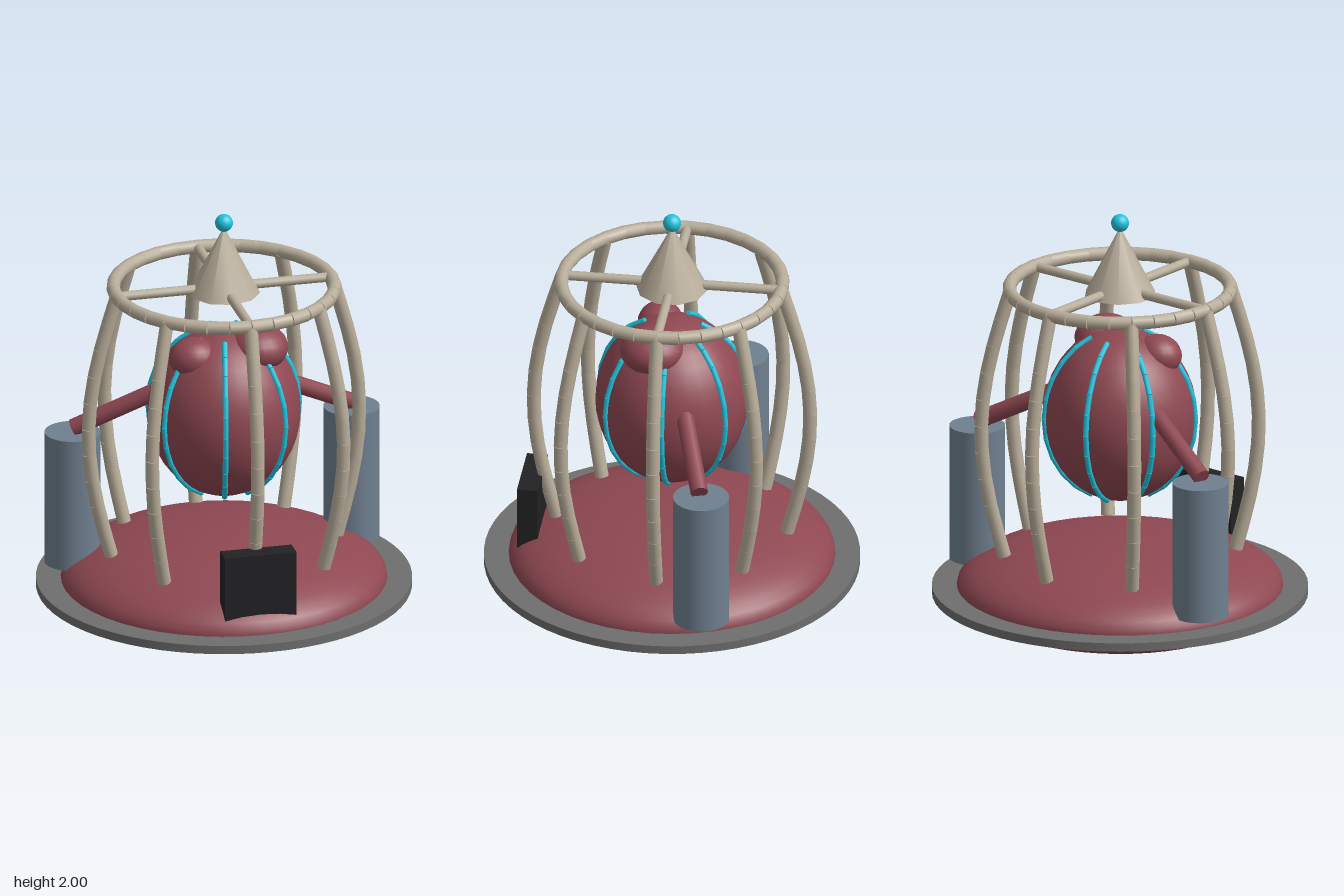
import * as THREE from 'three';

const mat = (color) => new THREE.MeshStandardMaterial({ color });
const RED = mat(0x8f4852), BONE = mat(0xb8ad9a), STEEL = mat(0x708090);
const CYAN = mat(0x22c4de), GREY = mat(0x6e6e6e), BLACK = mat(0x222224);
const V = (x, y, z) => new THREE.Vector3(x, y, z);

export function createModel() {
  const model = new THREE.Group();

  function add(name, geometry, material, x = 0, y = 0, z = 0, parent = model) {
    const mesh = new THREE.Mesh(geometry, material);
    mesh.name = name;
    mesh.position.set(x, y, z);
    parent.add(mesh);
    return mesh;
  }
  function group(name) {
    const g = new THREE.Group();
    g.name = name;
    model.add(g);
    return g;
  }
  // straight round bar between two points
  function bar(name, a, b, radius, material, parent = model, sides = 12) {
    const geo = new THREE.CylinderGeometry(radius, radius, a.distanceTo(b), sides);
    const mesh = add(name, geo, material, 0, 0, 0, parent);
    mesh.position.copy(a).lerp(b, 0.5);
    mesh.quaternion.setFromUnitVectors(V(0, 1, 0), b.clone().sub(a).normalize());
    return mesh;
  }
  function ellipsoid(name, material, center, radii, w = 32, h = 20) {
    const geo = new THREE.SphereGeometry(1, w, h).scale(...radii);
    return add(name, geo, material, ...center);
  }

  // base: flattened dome with a thin rim plate
  ellipsoid('baseDome', RED, [0, 0.222, 0], [0.745, 0.222, 0.745], 48, 24);
  add('rimPlate', new THREE.CylinderGeometry(0.857, 0.857, 0.04, 64), GREY, 0, 0.206, 0);

  // front panel
  add('frontPanel', new THREE.BoxGeometry(0.336, 0.325, 0.096), BLACK, 0, 0.4325, 0.642);

  // central organ with two lobes on top
  ellipsoid('core', RED, [0, 1.043, 0], [0.35, 0.402, 0.35]);
  ellipsoid('leftLobe', RED, [0.14, 1.365, 0.07], [0.14, 0.105, 0.15], 20, 14);
  ellipsoid('rightLobe', RED, [-0.16, 1.34, 0.075], [0.115, 0.095, 0.105], 20, 14);

  // glowing veins running down the core as meridians
  const veins = group('veins');
  for (let i = 0; i < 7; i++) {
    const angle = (i / 7) * Math.PI * 2;
    const points = [];
    for (let j = 0; j <= 10; j++) {
      const t = 0.38 + (j / 10) * (Math.PI - 0.76);
      const r = 0.353 * Math.sin(t);
      points.push(V(r * Math.cos(angle), 1.043 + 0.406 * Math.cos(t), r * Math.sin(angle)));
    }
    for (let j = 0; j < 10; j++) bar('vein', points[j], points[j + 1], 0.013, CYAN, veins, 8);
  }

  // side tanks and the arms joining them to the core
  for (const s of [1, -1]) {
    const side = s > 0 ? 'left' : 'right';
    add(side + 'Tank', new THREE.CylinderGeometry(0.128, 0.128, 0.635, 32), STEEL, s * 0.655, 0.5925, -0.225);
    bar(side + 'Arm', V(s * 0.28, 1.13, -0.095), V(s * 0.655, 0.932, -0.217), 0.04, RED);
  }

  // cage ribs: bowed chains of short segments
  const ribs = group('cageRibs');
  const SEG = 10;
  for (let i = 0; i < 8; i++) {
    const angle = (i / 8) * Math.PI * 2;
    const at = (t) => {
      const r = 0.505 + 0.025 * t + 0.118 * Math.sin(Math.PI * t);
      return V(r * Math.cos(angle), 1.64 - 1.26 * t, r * Math.sin(angle));
    };
    for (let j = 0; j < SEG; j++) bar('ribSegment', at(j / SEG), at((j + 1) / SEG), 0.032, BONE, ribs);
  }

  // cage top ring made of short segments
  const ring = group('cageRing');
  const onRing = (i) => V(0.505 * Math.cos((i * Math.PI) / 16), 1.645, 0.505 * Math.sin((i * Math.PI) / 16));
  for (let i = 0; i < 32; i++) bar('ringSegment', onRing(i), onRing(i + 1), 0.031, BONE, ring);

  // spokes from the ring to the spire
  for (let i = 0; i < 4; i++) {
    const c = Math.cos((i * Math.PI) / 2), s = Math.sin((i * Math.PI) / 2);
    bar('spoke', V(0.08 * c, 1.645, 0.08 * s), V(0.5 * c, 1.645, 0.5 * s), 0.022, BONE);
  }

  // spire with a bead on its tip
  add('spire', new THREE.ConeGeometry(0.165, 0.32, 10), BONE, 0, 1.78, 0);
  add('spireBead', new THREE.SphereGeometry(0.041, 20, 14), CYAN, 0, 1.959, 0);

  return model;
}
